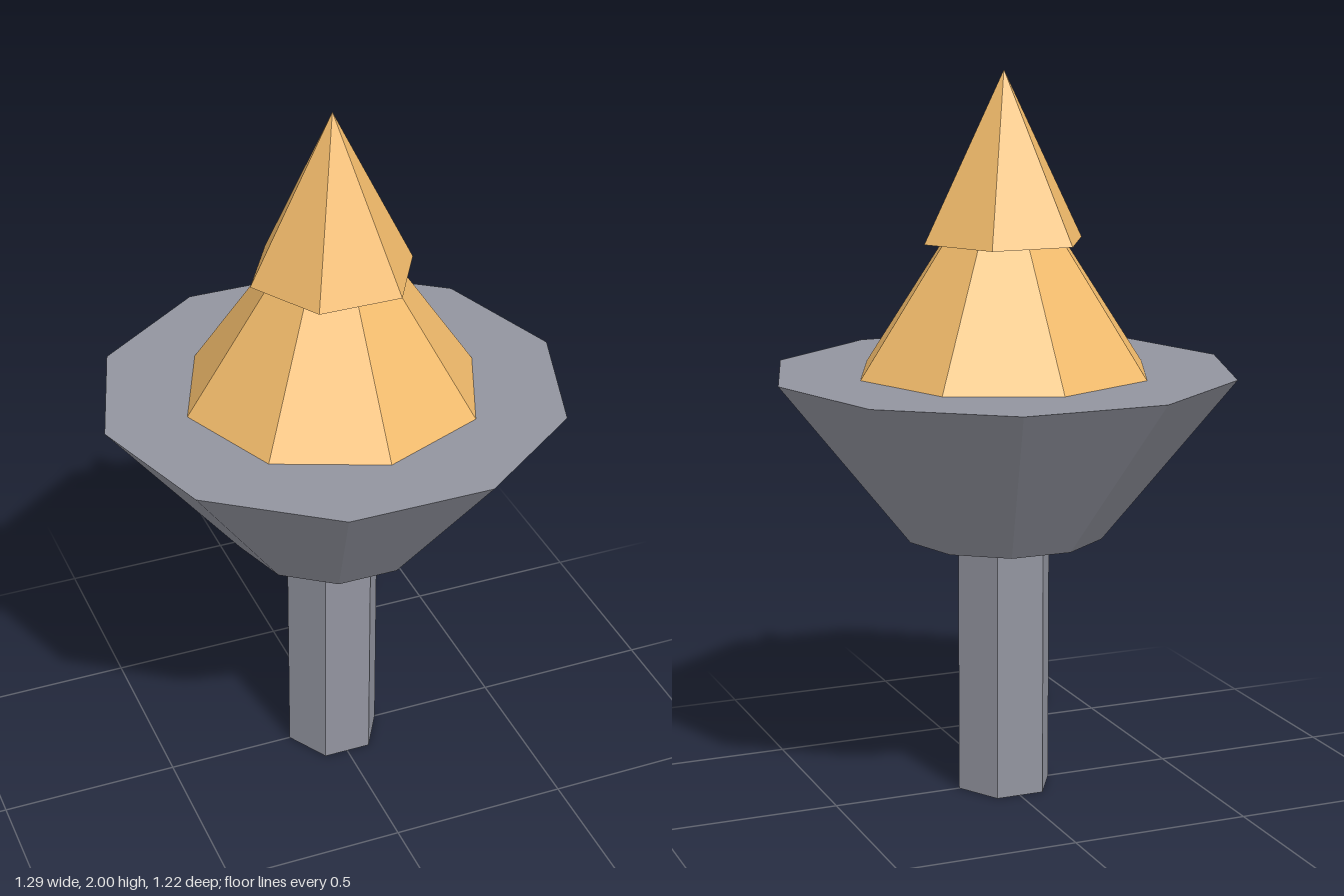
import * as THREE from 'three';

export function createModel() {
  const group = new THREE.Group();
  const metal = new THREE.MeshStandardMaterial({ color: 0x92949f, flatShading: true });
  const fire = new THREE.MeshStandardMaterial({ color: 0xf2bb6b, flatShading: true });

  // Faceted frustum between two heights, with a corner on the x axis
  function frustum(name, material, sides, bottomRadius, topRadius, y0, y1) {
    const geometry = new THREE.CylinderGeometry(topRadius, bottomRadius, y1 - y0, sides);
    geometry.rotateY(Math.PI / 2);
    const mesh = new THREE.Mesh(geometry, material);
    mesh.name = name;
    mesh.position.y = (y0 + y1) / 2;
    group.add(mesh);
  }

  // Torch handle and bowl
  frustum('handle', metal, 6, 0.136, 0.136, 0, 0.727);
  frustum('bowl', metal, 10, 0.276, 0.643, 0.727, 1.187);

  // Two stacked flame cones
  frustum('lowerFlame', fire, 8, 0.414, 0, 1.187, 1.802);
  frustum('upperFlame', fire, 6, 0.23, 0, 1.542, 2);

  return group;
}
